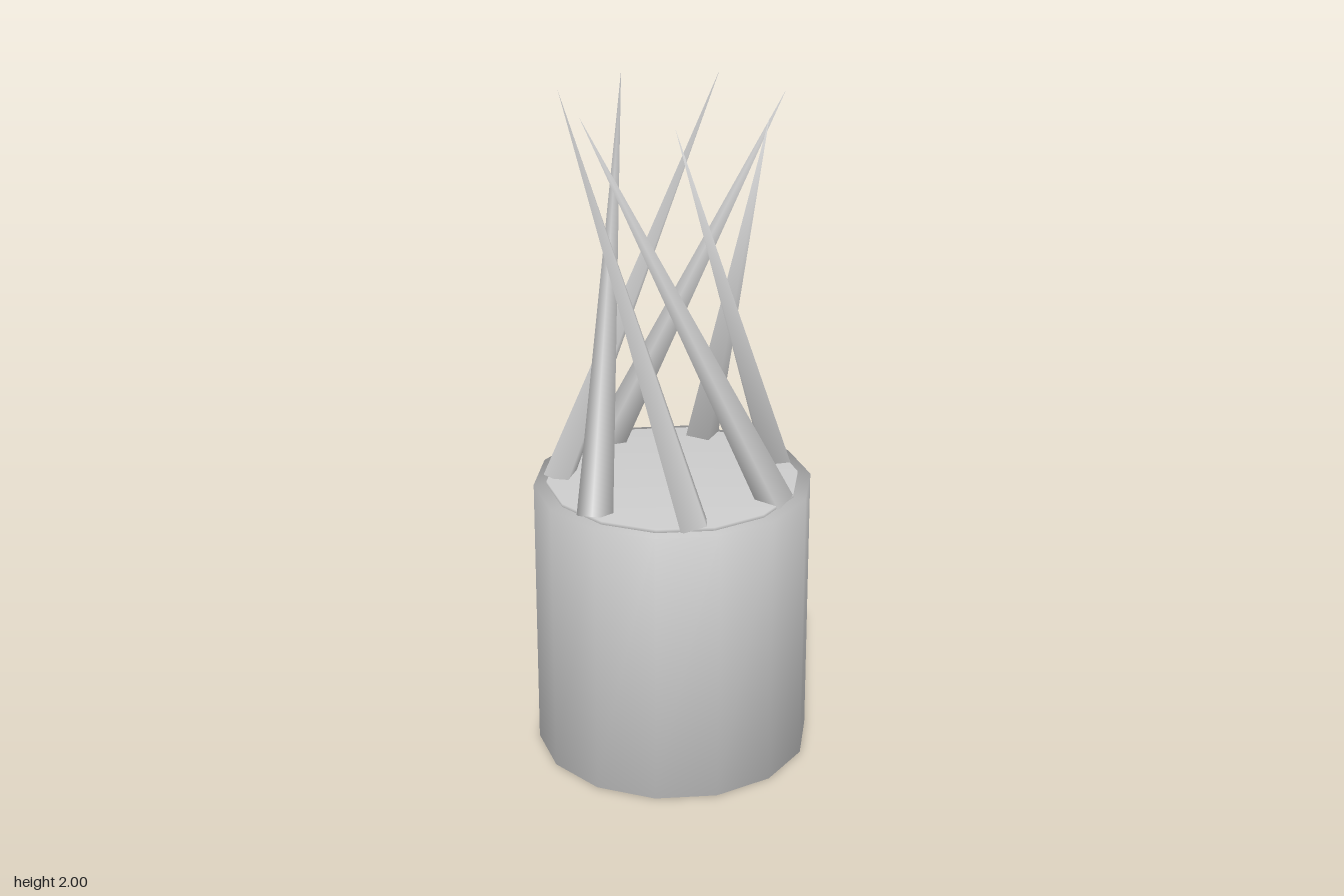
import * as THREE from 'three';
import { mergeVertices } from 'three/addons/utils/BufferGeometryUtils.js';

// Weld all corners so the shading runs smoothly over the edges
function smooth(geometry) {
  geometry.deleteAttribute('normal');
  geometry.deleteAttribute('uv');
  const welded = mergeVertices(geometry, 1e-4);
  welded.computeVertexNormals();
  return welded;
}

const polar = (degrees, radius, y) => {
  const a = THREE.MathUtils.degToRad(degrees);
  return new THREE.Vector3(radius * Math.cos(a), y, radius * Math.sin(a));
};

export function createModel() {
  const model = new THREE.Group();
  model.name = 'spikedPot';
  const grey = new THREE.MeshStandardMaterial({ color: 0xcccccc });
  grey.name = 'light grey';

  const add = (name, geometry) => {
    const mesh = new THREE.Mesh(smooth(geometry), grey);
    mesh.name = name;
    model.add(mesh);
    return mesh;
  };

  // Fourteen-sided drum
  const drumHeight = 0.843;
  add('drum', new THREE.CylinderGeometry(0.41, 0.41, drumHeight, 14)).position.y = drumHeight / 2;

  // Thin raised disc on the drum
  add('topDisc', new THREE.CylinderGeometry(0.372, 0.372, 0.02, 14)).position.y = 0.843;

  // Ring of seven crossing four-sided spikes
  const count = 7;
  for (let i = 0; i < count; i++) {
    const turn = (i * 360) / count;
    const base = polar(turn - 107.7, 0.339, 0.84);
    const tip = polar(turn + 4.4, 0.327, 2);
    const axis = tip.clone().sub(base);
    const length = axis.length();
    axis.normalize();
    const side = new THREE.Vector3().crossVectors(axis, new THREE.Vector3(0, 1, 0)).normalize();
    const back = new THREE.Vector3().crossVectors(side, axis);

    const spike = add('spike' + (i + 1), new THREE.ConeGeometry(0.053, length, 4));
    spike.quaternion.setFromRotationMatrix(new THREE.Matrix4().makeBasis(side, axis, back));
    spike.position.copy(base).add(tip).multiplyScalar(0.5);
  }
  return model;
}
